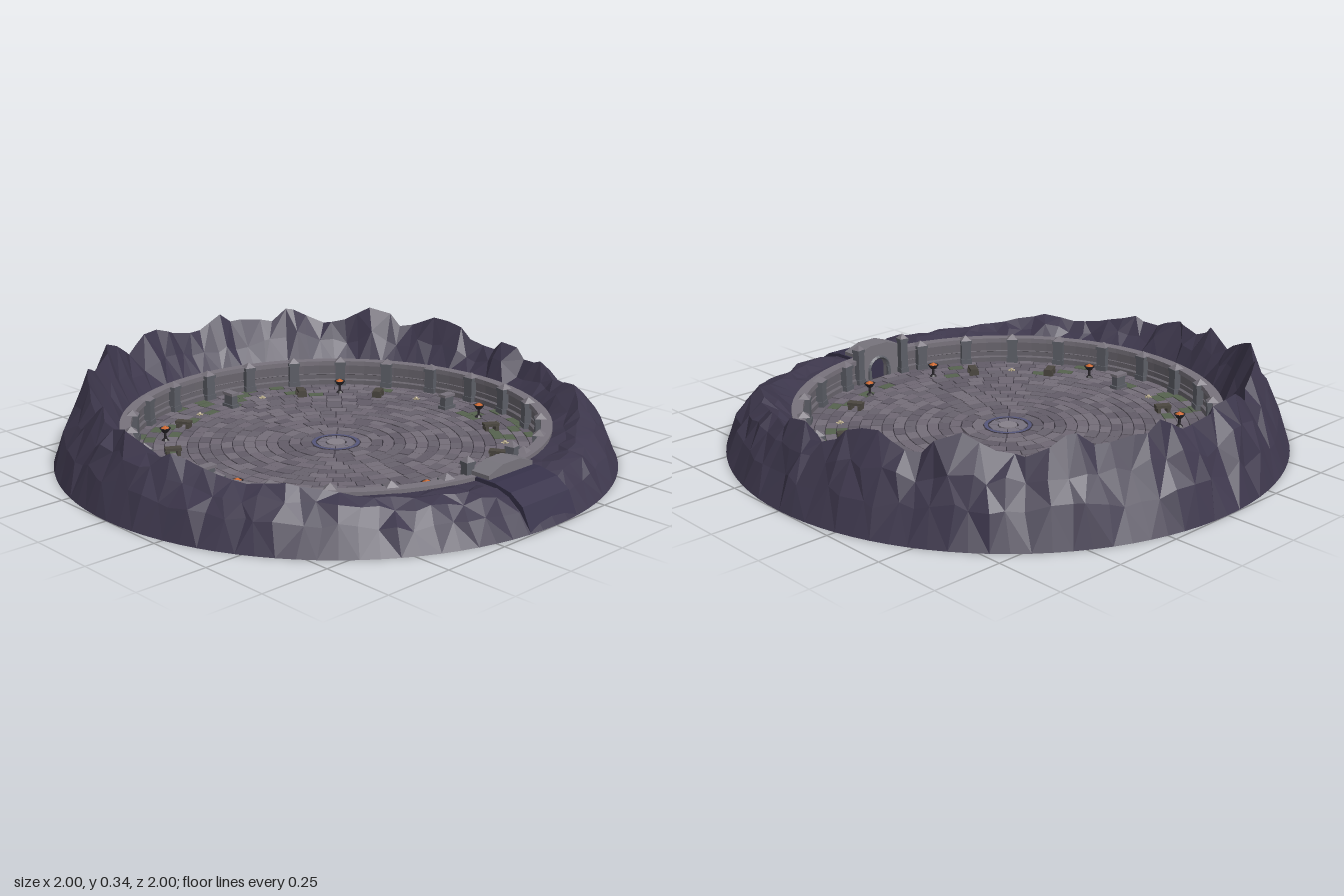
import * as THREE from 'three';
import { mergeGeometries } from 'three/addons/utils/BufferGeometryUtils.js';

const FLOOR = 0.028;
const TAU = Math.PI * 2;

let seed = 7;
const rand = () => (seed = (seed * 16807) % 2147483647) / 2147483647;
const spread = (s) => (rand() - 0.5) * 2 * s;
const mat = (color, extra = {}) => new THREE.MeshStandardMaterial({ color, flatShading: true, ...extra });
const polar = (r, a, y) => [r * Math.sin(a), y, r * Math.cos(a)]; // a = 0 points to the front

const M = {
  rock: mat(0x3d374c, { side: THREE.DoubleSide }),
  path: mat(0x37324a),
  wall: mat(0x68646c, { side: THREE.DoubleSide }),
  coping: mat(0x78737c),
  post: mat(0x5c5e66),
  gate: mat(0x77747c),
  dark: mat(0x1e1a22),
  mortar: mat(0x37323c),
  iron: mat(0x2a272c),
  ember: mat(0xc8642a),
  bench: mat(0x4b4740),
  bone: mat(0xb8ac8c),
};

function add(parent, name, geometry, material, x = 0, y = 0, z = 0) {
  const mesh = new THREE.Mesh(geometry, material);
  mesh.name = name;
  mesh.position.set(x, y, z);
  parent.add(mesh);
  return mesh;
}

function group(parent, name, x = 0, y = 0, z = 0, turn = 0) {
  const g = new THREE.Group();
  g.name = name;
  g.position.set(x, y, z);
  g.rotation.y = turn;
  parent.add(g);
  return g;
}

// Ridge height by angle in degrees, 0 at the back, positive towards +x
const RIDGE = [
  [-180, 0.125], [-155, 0.13], [-140, 0.15], [-126, 0.19], [-118, 0.17], [-110, 0.19], [-101, 0.23], [-95, 0.2],
  [-85, 0.26], [-78, 0.22], [-72, 0.28], [-65, 0.22], [-58, 0.28], [-50, 0.32], [-42, 0.27], [-32, 0.34], [-22, 0.25],
  [-13, 0.32], [0, 0.27], [5, 0.27], [10, 0.33], [15, 0.28], [18, 0.29], [25, 0.27], [30, 0.335], [40, 0.25],
  [47, 0.27], [55, 0.33], [62, 0.24], [72, 0.3], [78, 0.29], [84, 0.22], [90, 0.21], [95, 0.27], [101, 0.2],
  [108, 0.22], [116, 0.18], [126, 0.21], [140, 0.155], [155, 0.13], [180, 0.125],
];

function ridgeHeight(a) {
  const deg = ((((180 - (a * 180) / Math.PI) + 180) % 360) + 360) % 360 - 180;
  const i = Math.max(1, RIDGE.findIndex((p) => p[0] >= deg));
  const [a0, h0] = RIDGE[i - 1], [a1, h1] = RIDGE[i];
  return h0 + ((h1 - h0) * (deg - a0)) / (a1 - a0);
}

// Jagged rock ring: cross-sections swept around, open underneath
function rockGeometry() {
  const n = 100, rows = 6, pos = [], index = [];
  for (let j = 0; j < n; j++) {
    const a0 = (j / n) * TAU;
    const atGate = Math.min(a0, TAU - a0) < 0.13;
    const h = atGate ? 0.11 : ridgeHeight(a0);
    const low = THREE.MathUtils.clamp((0.3 - h) / 0.17, 0, 1); // low parts are rounder
    const k = atGate ? 0 : 1;
    const section = [
      [1, 0], [0.953, h * (0.38 + 0.16 * low)], [0.906, h * (0.7 + 0.17 * low)],
      [0.86, h], [0.815, 0.112 + (h - 0.112) * 0.5], [0.762, 0.112],
    ];
    section.forEach(([r, y], i) => {
      const mid = i > 0 && i < rows - 1 ? k : 0;
      const inner = mid && i !== 3 ? 1 : 0;
      pos.push(...polar(r + spread(0.012) * mid, a0 + spread(0.02) * mid, y + spread(0.08 * h) * inner));
    });
    for (let i = 0; i < rows - 1; i++) {
      const p = j * rows + i, q = ((j + 1) % n) * rows + i;
      if ((i + j) % 2) index.push(p, q, q + 1, p, q + 1, p + 1);
      else index.push(p, q, p + 1, q, q + 1, p + 1);
    }
  }
  const g = new THREE.BufferGeometry();
  g.setAttribute('position', new THREE.Float32BufferAttribute(pos, 3));
  g.setIndex(index);
  g.computeVertexNormals();
  return g;
}

// One paving stone: a ring sector with sides and no underside
function stone(r0, r1, a0, a1, y0, y1) {
  const loop = [[r0, a0], [r1, a0], [r1, a1], [r0, a1]];
  const pos = [y0, y1].flatMap((y) => loop.flatMap(([r, a]) => polar(r, a, y)));
  const index = [4, 5, 6, 4, 6, 7];
  for (let i = 0; i < 4; i++) {
    const j = (i + 1) % 4;
    index.push(i, j, j + 4, i, j + 4, i + 4);
  }
  const g = new THREE.BufferGeometry();
  g.setAttribute('position', new THREE.Float32BufferAttribute(pos, 3));
  g.setIndex(index);
  return g.toNonIndexed();
}

function buildFloor(root) {
  const floor = group(root, 'floor');
  add(floor, 'floorBase', new THREE.CylinderGeometry(0.757, 0.757, 0.012, 72), M.dark, 0, 0.006);
  add(floor, 'mortarBed', new THREE.CylinderGeometry(0.745, 0.745, 0.012, 72), M.mortar, 0, 0.018);
  const shades = [0x6f6874, 0x68626d, 0x756e79, 0x625c68, 0x56624e];
  const bins = shades.map(() => []);
  const rings = 16, inner = 0.09, step = (0.735 - inner) / rings;
  for (let i = 0; i < rings; i++) {
    const r = inner + i * step;
    const count = Math.max(12, Math.round((TAU * r) / 0.057));
    const offset = rand();
    for (let j = 0; j < count; j++) {
      const a = ((j + offset) / count) * TAU, gap = 0.0015 / r;
      const mossy = rand() < (r > 0.56 ? 0.16 : 0);
      const bin = mossy ? 4 : Math.floor(rand() * 4);
      bins[bin].push(stone(r + 0.0015, r + step - 0.0015, a + gap, a + TAU / count - gap, 0.022, FLOOR + spread(0.0015)));
    }
  }
  bins.forEach((list, i) => {
    const g = mergeGeometries(list);
    g.computeVertexNormals();
    add(floor, i === 4 ? 'mossyPavers' : 'pavers' + (i + 1), g, mat(shades[i]));
  });
  // Centre medallion
  const ring = add(floor, 'medallionRing', new THREE.RingGeometry(0.073, 0.086, 32), mat(0x55567a), 0, FLOOR + 0.001);
  ring.rotation.x = -Math.PI / 2;
  const petals = [];
  for (let j = 0; j < 8; j++) petals.push(stone(0.04, 0.07, (j / 8) * TAU + 0.03, ((j + 1) / 8) * TAU - 0.03, 0.022, FLOOR));
  const petalGeo = mergeGeometries(petals);
  petalGeo.computeVertexNormals();
  add(floor, 'medallionStones', petalGeo, mat(0x77727e));
  add(floor, 'medallionCentre', new THREE.CylinderGeometry(0.034, 0.034, 0.008, 12), mat(0x86808a), 0, FLOOR - 0.002);
}

function post(parent, name, a, r, size, top) {
  const [x, , z] = polar(r, a, 0);
  const g = group(parent, name, x, 0, z, a);
  const h = top - 0.02;
  add(g, 'postShaft', new THREE.BoxGeometry(size * 0.85, h, size * 0.85), M.post, 0, h / 2);
  add(g, 'postFoot', new THREE.BoxGeometry(size, 0.02, size), M.post, 0, FLOOR + 0.01);
  add(g, 'postHead', new THREE.BoxGeometry(size, 0.012, size), M.post, 0, h - 0.004);
  const cap = add(g, 'postCap', new THREE.ConeGeometry(size * 0.7, 0.02, 4), M.coping, 0, top - 0.009);
  cap.rotation.y = Math.PI / 4;
}

function buildWall(root) {
  const wall = group(root, 'wall');
  const lathe = (pts) => new THREE.LatheGeometry(pts.map((p) => new THREE.Vector2(...p)), 72, 0.14, TAU - 0.28);
  add(wall, 'wallBody', lathe([[0.765, 0], [0.765, 0.11], [0.738, 0.11], [0.738, 0.072], [0.734, 0.07], [0.738, 0.068], [0.738, 0.05], [0.728, 0.046], [0.728, 0.02]]), M.wall);
  const coping = lathe([[0.728, 0.108], [0.768, 0.108], [0.768, 0.126], [0.728, 0.126], [0.728, 0.108]]);
  add(wall, 'wallCoping', coping, M.coping);
  for (let i = 1; i < 24; i++) post(wall, 'wallPost', (i / 24) * TAU, 0.73, 0.045, 0.143);
}

function buildGate(root) {
  const gate = group(root, 'gate');
  // Front with an arched opening and a shallow gable
  const s = new THREE.Shape();
  [[-0.108, 0.01], [-0.042, 0.01], [-0.042, 0.062]].forEach(([x, y], i) => (i ? s.lineTo(x, y) : s.moveTo(x, y)));
  s.absarc(0, 0.062, 0.042, Math.PI, 0, true);
  [[0.042, 0.01], [0.108, 0.01], [0.108, 0.14], [0.04, 0.163], [-0.04, 0.163], [-0.108, 0.14]].forEach(([x, y]) => s.lineTo(x, y));
  add(gate, 'gateBlock', new THREE.ExtrudeGeometry(s, { depth: 0.075, bevelEnabled: false, curveSegments: 10 }), M.gate, 0, 0, 0.735);
  add(gate, 'gateDarkness', new THREE.BoxGeometry(0.1, 0.1, 0.01), M.dark, 0, 0.06, 0.79);
  add(gate, 'gateArch', new THREE.TorusGeometry(0.047, 0.007, 4, 12, Math.PI), M.post, 0, 0.062, 0.735);
  for (const side of [-1, 1]) {
    add(gate, 'archJamb', new THREE.BoxGeometry(0.013, 0.04, 0.012), M.post, side * 0.047, 0.043, 0.735);
    post(gate, 'gatePost', side * 0.15, 0.73, 0.036, 0.186);
  }
  // Rock shoulder leading away from the gate
  const p = new THREE.Shape([[0.76, 0], [0.992, 0], [0.955, 0.078], [0.905, 0.112], [0.84, 0.126], [0.76, 0.126]].map((q) => new THREE.Vector2(...q)));
  const ramp = add(gate, 'gateShoulder', new THREE.ExtrudeGeometry(p, { depth: 0.23, bevelEnabled: false }), M.path, 0.115, 0, 0);
  ramp.rotation.y = -Math.PI / 2;
}

function buildProps(root) {
  const props = group(root, 'arenaProps');
  const place = (name, deg, r) => {
    const a = (deg * Math.PI) / 180, [x, , z] = polar(r, a, 0);
    return group(props, name, x, FLOOR, z, a);
  };
  for (const side of [-1, 1]) {
    // Fire bowls
    for (const deg of [15, 75, 135]) {
      const g = place('brazier', side * deg, 0.615);
      add(g, 'brazierFoot', new THREE.CylinderGeometry(0.008, 0.015, 0.008, 8), M.iron, 0, 0.004);
      add(g, 'brazierStem', new THREE.CylinderGeometry(0.005, 0.005, 0.03, 6), M.iron, 0, 0.02);
      add(g, 'brazierBowl', new THREE.CylinderGeometry(0.022, 0.01, 0.016, 8), M.iron, 0, 0.04);
      add(g, 'brazierEmbers', new THREE.ConeGeometry(0.018, 0.01, 7), M.ember, 0, 0.052);
    }
    // Stone benches
    for (const deg of [30, 60, 120, 150]) {
      const g = place('bench', side * deg, 0.587);
      add(g, 'benchSeat', new THREE.BoxGeometry(0.03, 0.01, 0.058), M.bench, 0, 0.022);
      for (const e of [-1, 1]) add(g, 'benchLeg', new THREE.BoxGeometry(0.036, 0.018, 0.012), M.bench, 0, 0.009, e * 0.019);
    }
    // Small bone heaps
    for (const deg of [45, 105, 165]) {
      const g = place('boneHeap', side * deg, 0.606);
      add(g, 'roundBone', new THREE.IcosahedronGeometry(0.007, 0), M.bone, 0, 0.006);
      for (let i = 0; i < 3; i++) {
        const bone = add(g, 'longBone', new THREE.CylinderGeometry(0.002, 0.002, 0.028, 5), M.bone, 0, 0.003);
        bone.rotation.set(Math.PI / 2, 0, i * 1.05);
      }
    }
  }
  // Standing stones
  for (const deg of [-90, 90, 180]) {
    const g = place('standingStone', deg, 0.59);
    add(g, 'stoneBase', new THREE.BoxGeometry(0.036, 0.012, 0.06), M.post, 0, 0.006);
    add(g, 'stoneShaft', new THREE.BoxGeometry(0.026, 0.04, 0.046), M.post, 0, 0.03);
    add(g, 'stoneHead', new THREE.BoxGeometry(0.034, 0.01, 0.056), M.coping, 0, 0.053);
  }
}

export function createModel() {
  const root = new THREE.Group();
  root.name = 'arena';
  add(root, 'rockRim', rockGeometry(), M.rock);
  buildFloor(root);
  buildWall(root);
  buildGate(root);
  buildProps(root);
  return root;
}
